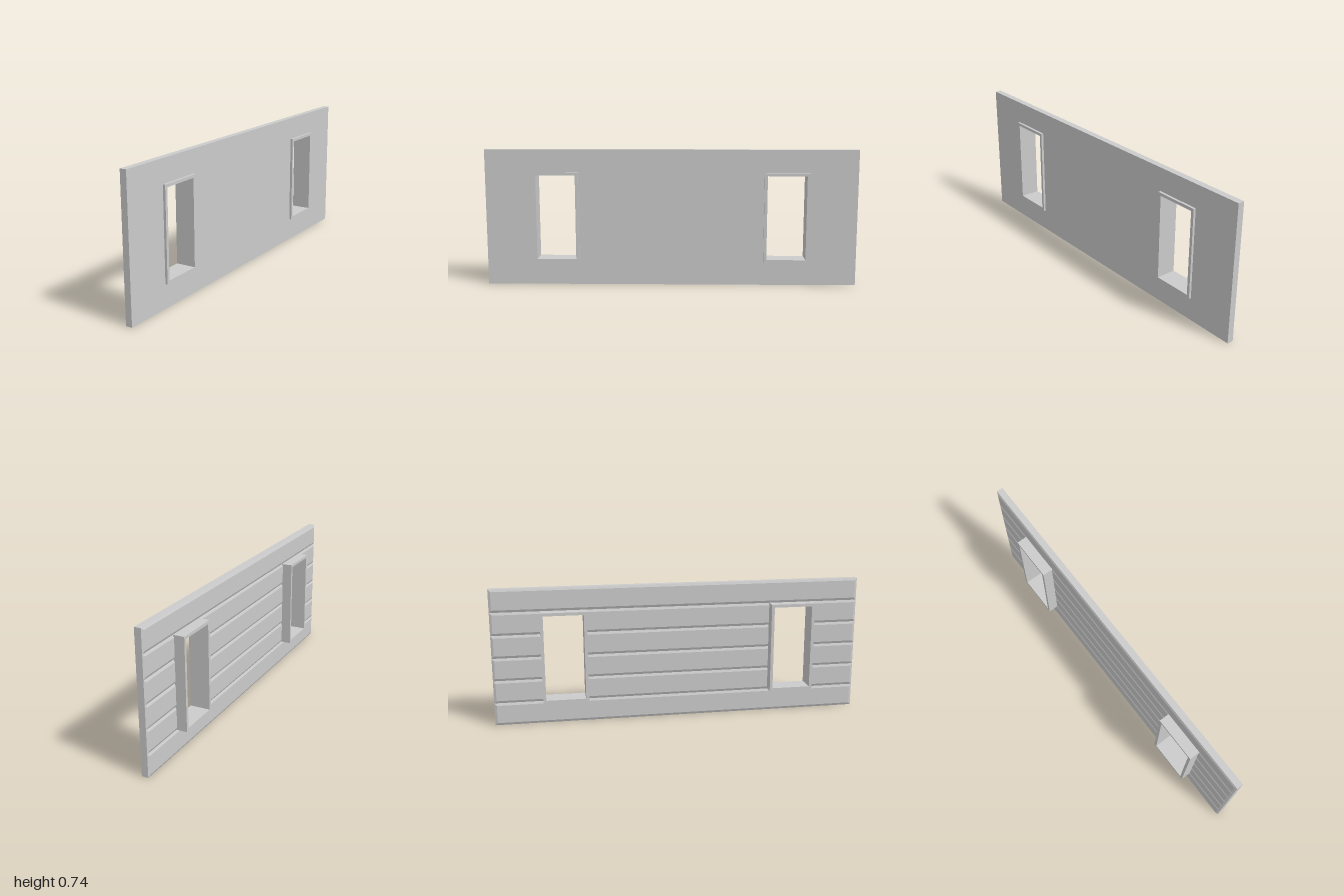
import * as THREE from 'three';

const HEIGHT = 0.737, ROWS = 6, ROW = HEIGHT / ROWS, BEVEL = 0.013;
const FACE = 0, SLAB = 0.006, INNER = 0.041; // x of board faces, slab outside and slab inside
const WIN = { z: 0.621, y: 0.3695, w: 0.243, h: 0.489, t: 0.016, depth: 0.108 };

const material = new THREE.MeshStandardMaterial({ color: 0xcccccc, flatShading: true });

function rect(target, cx, cy, w, h) {
  target.moveTo(cx - w / 2, cy - h / 2);
  target.lineTo(cx + w / 2, cy - h / 2);
  target.lineTo(cx + w / 2, cy + h / 2);
  target.lineTo(cx - w / 2, cy + h / 2);
  target.closePath();
  return target;
}

// Extrude a shape drawn in the (-z, y) plane from x0 to x1
function slab(shape, x0, x1) {
  return new THREE.ExtrudeGeometry(shape, { depth: x1 - x0, bevelEnabled: false })
    .rotateY(Math.PI / 2)
    .translate(x0, 0, 0);
}

// A board whose outer face is inset at top, bottom and at the wall's ends
function boardGeometry(y0, z0, z1) {
  const g = new THREE.BoxGeometry(SLAB - FACE, ROW, z1 - z0).toNonIndexed();
  g.translate((SLAB + FACE) / 2, y0 + ROW / 2, (z0 + z1) / 2);
  const p = g.attributes.position;
  for (let i = 0; i < p.count; i++) {
    if (p.getX(i) > (SLAB + FACE) / 2) continue;
    p.setY(i, p.getY(i) + (p.getY(i) < y0 + ROW / 2 ? BEVEL : -BEVEL));
    const z = p.getZ(i);
    if (Math.abs(z) > 0.999) p.setZ(i, z - Math.sign(z) * BEVEL);
  }
  g.computeVertexNormals();
  return g;
}

export function createModel() {
  const model = new THREE.Group();
  model.name = 'wallPanel';
  const add = (parent, name, geometry) => {
    const mesh = new THREE.Mesh(geometry, material);
    mesh.name = name;
    parent.add(mesh);
  };

  // Wall slab with two window openings
  const wall = rect(new THREE.Shape(), 0, HEIGHT / 2, 2, HEIGHT);
  for (const s of [-1, 1]) wall.holes.push(rect(new THREE.Path(), s * WIN.z, WIN.y, WIN.w, WIN.h));
  add(model, 'wall', slab(wall, SLAB, INNER));

  // Horizontal siding, interrupted by the windows in the middle rows
  const siding = new THREE.Group();
  siding.name = 'siding';
  model.add(siding);
  const near = WIN.z - WIN.w / 2, far = WIN.z + WIN.w / 2;
  for (let r = 0; r < ROWS; r++) {
    const spans = r === 0 || r === ROWS - 1 ? [[-1, 1]] : [[-1, -far], [-near, near], [far, 1]];
    for (const [z0, z1] of spans) add(siding, 'sidingBoard', boardGeometry(r * ROW, z0, z1));
  }

  // Window frames projecting on both sides
  for (const s of [-1, 1]) {
    const frame = rect(new THREE.Shape(), s * WIN.z, WIN.y, WIN.w, WIN.h);
    frame.holes.push(rect(new THREE.Path(), s * WIN.z, WIN.y, WIN.w - 2 * WIN.t, WIN.h - 2 * WIN.t));
    add(model, s < 0 ? 'frontWindowFrame' : 'backWindowFrame', slab(frame, -WIN.depth / 2, WIN.depth / 2));
  }
  return model;
}
